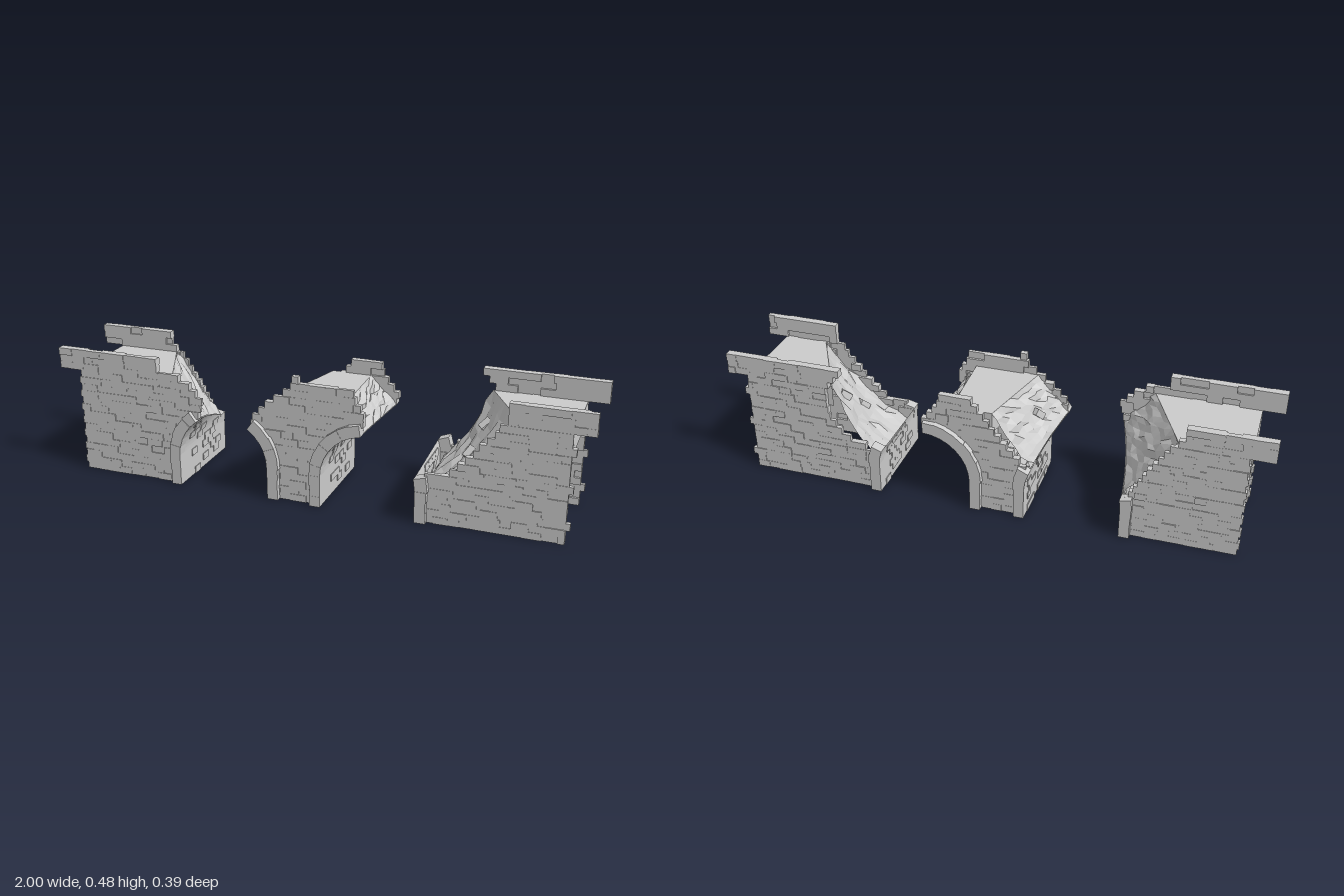
import * as THREE from 'three';
import { mergeGeometries } from 'three/addons/utils/BufferGeometryUtils.js';

const R_IN = 0.175, R_OUT = 0.217, SPRING = 0.12, DECK = 0.4, IN = 0.152;
const ROW = 0.08 / 3;
const lerp = THREE.MathUtils.lerp, rad = THREE.MathUtils.degToRad;

let seed = 7;
function rnd() {
  seed = (seed * 16807) % 2147483647;
  return seed / 2147483647;
}

const stone = new THREE.MeshStandardMaterial({ color: 0xcccccc, flatShading: true });
const shell = new THREE.MeshStandardMaterial({ color: 0xcccccc, flatShading: true, side: THREE.DoubleSide });

function named(name, geometry, material = stone) {
  const m = new THREE.Mesh(geometry, material);
  m.name = name;
  return m;
}

// x of a broken edge at height y, from [y, x] points
function edgeAt(points, y) {
  if (y <= points[0][0]) return points[0][1];
  for (let i = 1; i < points.length; i++) {
    const [y0, x0] = points[i - 1], [y1, x1] = points[i];
    if (y <= y1) return lerp(x0, x1, (y - y0) / (y1 - y0));
  }
  return points[points.length - 1][1];
}

// Point on an arch; side -1 is its left half, +1 its right half
function archPoint(arch, r, a) {
  return [arch.cx + arch.side * r * Math.cos(a), SPRING + r * Math.sin(a)];
}

// Half width of the arch opening at the bottom of a course
function opening(y) {
  const d = Math.max(0, y - SPRING), r = R_IN + 0.004;
  return d < r ? Math.sqrt(r * r - d * d) : 0;
}

// Wall laid in courses of bricks with uneven faces
function brickWall(name, s, left, right, arches) {
  const parts = [];
  for (let i = 0; i < 18; i++) {
    const y = i * ROW, mid = y + ROW / 2;
    let x0 = left(mid, i), x1 = right(mid, i);
    for (const a of arches) {
      const w = opening(y);
      if (!w) continue;
      if (a.side < 0) x1 = Math.min(x1, a.cx - w);
      else x0 = Math.max(x0, a.cx + w);
    }
    let x = x0, first = i % 2 ? 0.03 : 0.055;
    while (x < x1 - 0.004) {
      let end = x + first + rnd() * 0.03;
      if (x1 - end < 0.015) end = x1;
      end = Math.min(end, x1);
      const cap = i === 17 ? 0.003 : 0;
      const zin = IN + (rnd() < 0.4 ? 0.007 : -0.002) - cap, zout = 0.171 + rnd() * 0.005 + cap;
      const b = new THREE.BoxGeometry(end - x, ROW, zout - zin);
      b.translate((x + end) / 2, mid, s * (zin + zout) / 2);
      parts.push(b);
      x = end;
      first = 0.035;
    }
  }
  return named(name, mergeGeometries(parts));
}

// Raised arch ring: jamb blocks below, wedge blocks above
function archRing(name, arch, s, end) {
  const parts = [];
  const block = (corners) => {
    const g = new THREE.ExtrudeGeometry(new THREE.Shape(corners.map(p => new THREE.Vector2(...p))),
      { depth: 0.042 - rnd() * 0.003, bevelEnabled: false });
    g.translate(0, 0, s > 0 ? IN : -IN - 0.042);
    parts.push(g);
  };
  for (let i = 0; i < 3; i++) {
    const y0 = i * 0.04, y1 = y0 + 0.04, o = R_OUT - rnd() * 0.004;
    const xi = arch.cx + arch.side * R_IN, xo = arch.cx + arch.side * o;
    block([[xi, y0], [xo, y0], [xo, y1], [xi, y1]]);
  }
  const n = Math.max(1, Math.round(end / rad(11)));
  for (let i = 0; i < n; i++) {
    const a0 = end * i / n, a1 = end * (i + 1) / n, o = R_OUT + rnd() * 0.004;
    block([archPoint(arch, R_IN, a0), archPoint(arch, o, a0), archPoint(arch, o, a1), archPoint(arch, R_IN, a1)]);
  }
  return named(name, mergeGeometries(parts));
}

// Scattered bricks standing slightly proud of the arch underside
function undersideBricks(arch) {
  const parts = [];
  for (let k = 0; k < 14; k++) {
    const d = (k + 0.5) * ROW, a = Math.max(0, d - SPRING) / R_IN;
    for (let z = -0.145 + (k % 2) * 0.02; z < 0.1; z += 0.045) {
      if (rnd() < 0.6 || a + 0.1 > lerp(arch.back, arch.front, (z + 0.17) / 0.314)) continue;
      const [x, y] = archPoint(arch, R_IN, a);
      const b = new THREE.BoxGeometry(0.006, ROW, 0.043);
      b.rotateZ(arch.side * a);
      b.translate(x, Math.min(y, d), z + 0.0215);
      parts.push(b);
    }
  }
  return named('undersideBricks', mergeGeometries(parts));
}

// Footing of the pier: a layer of separate stones
function footing(arch) {
  const parts = [], cols = arch.footing / 0.05;
  for (let i = 0; i < cols; i++) for (let j = 0; j < 6; j++) {
    const b = new THREE.BoxGeometry(0.047, 0.09, 0.049);
    b.translate(arch.cx + arch.side * (R_IN + 0.026 + i * 0.05), 0.047 + rnd() * 0.004, -0.1275 + j * 0.051);
    parts.push(b);
  }
  return named('footing', mergeGeometries(parts));
}

// Surface from a rule over a grid of u, v
function gridSurface(nu, nv, rule) {
  const pos = [], index = [];
  for (let j = 0; j <= nv; j++) for (let i = 0; i <= nu; i++) pos.push(...rule(i / nu, j / nv));
  for (let j = 0; j < nv; j++) for (let i = 0; i < nu; i++) {
    const a = j * (nu + 1) + i, b = a + nu + 1;
    index.push(a, a + 1, b, a + 1, b + 1, b);
  }
  const g = new THREE.BufferGeometry();
  g.setAttribute('position', new THREE.Float32BufferAttribute(pos, 3));
  g.setIndex(index);
  g.computeVertexNormals();
  return g;
}

// One arch half: rings, underside, rubble slope up to the deck and loose stones
function archHalf(group, arch) {
  const { back, front, top, drop } = arch;
  group.add(archRing('frontArchRing', arch, 1, front), archRing('backArchRing', arch, -1, back));
  group.add(undersideBricks(arch), footing(arch));
  const angle = u => lerp(back, front, u), zAt = u => lerp(-0.157, 0.157, u);
  group.add(named('archUnderside', gridSurface(8, 14, (u, v) => {
    const k = 2 / 14;
    const p = v <= k ? [arch.cx + arch.side * R_IN, SPRING * v / k]
      : archPoint(arch, R_IN, angle(u) * (v - k) / (1 - k));
    return [...p, zAt(u)];
  }), shell));
  const slope = (u, v) => {
    const [x, y] = archPoint(arch, R_IN + 0.003 + drop * 0.4, angle(u));
    const sag = drop * 0.5 * Math.sin(Math.PI * v);
    return [lerp(x, lerp(top[0], top[1], u), v), lerp(y - drop, DECK, v) - sag, zAt(u)];
  };
  group.add(named('rubbleSlope', gridSurface(10, 8, (u, v) => {
    const p = slope(u, v);
    const rough = v > 0 && v < 1 ? 0.016 : 0;
    const inner = u > 0 && u < 1 ? 0.012 : 0;
    return [p[0] + (rnd() - 0.5) * rough, p[1] + (rnd() - 0.5) * rough, p[2] + (rnd() - 0.5) * inner];
  }), shell));
  for (const [u, v] of arch.stones) {
    const b = named('looseStone', new THREE.BoxGeometry(0.045, 0.025, 0.028));
    b.position.set(...slope(u, v));
    b.rotation.set(0.3, 0.4 + u, arch.side * 0.5);
    group.add(b);
  }
}

// Road slab from plan corners [x, z]
function deck(corners) {
  const g = new THREE.ExtrudeGeometry(new THREE.Shape(corners.map(([x, z]) => new THREE.Vector2(x, -z))),
    { depth: 0.08, bevelEnabled: false });
  g.rotateX(-Math.PI / 2);
  g.translate(0, DECK - 0.08, 0);
  return named('deck', g);
}

export function createModel() {
  const model = new THREE.Group();
  model.name = 'ruinedBridge';
  const W = 0.155;
  const half = (cx, side, back, front, top, footing, drop, stones) =>
    ({ cx, side, back: rad(back), front: rad(front), top, footing, drop, stones });
  const a1 = half(-0.325, -1, 12, 53, [-0.68, -0.54], 0.05, 0, []);
  const a2 = half(-0.325, 1, 25, 55, [-0.02, -0.1], 0.1, 0, [[0.6, 0.45]]);
  const a3 = half(0.23, -1, 90, 82, [0.13, 0.14], 0.1, 0, []);
  const a4 = half(0.23, 1, 20, 15, [0.59, 0.76], 0.05, 0.065, [[0.6, 0.5], [0.35, 0.75]]);
  const broken = points => y => edgeAt(points, y);

  // Left end: straight outer edge, parapet overhanging
  const endL = (y, i) => i >= 15 ? -1 : i % 2 ? -0.92 : -0.914;
  const west = new THREE.Group();
  west.name = 'leftEnd';
  west.add(
    brickWall('frontWall', 1, endL, broken([[0.3, -0.42], [0.34, -0.41], [0.37, -0.45], [0.4, -0.47],
      [0.42, -0.52], [0.43, -0.59]]), [a1]),
    brickWall('backWall', -1, endL, broken([[0.15, -0.51], [0.28, -0.58], [0.4, -0.66], [0.43, -0.7]]), [a1]),
    deck([[-0.92, -W], [-0.68, -W], [-0.54, W], [-0.92, W]]));
  archHalf(west, a1);

  // Middle pier carrying two broken arches
  const pier = new THREE.Group();
  pier.name = 'middlePier';
  pier.add(
    brickWall('frontWall', 1,
      broken([[0.27, -0.22], [0.31, -0.21], [0.36, -0.16], [0.4, -0.11], [0.43, -0.07], [0.45, -0.055]]),
      broken([[0.3, 0.21], [0.37, 0.21], [0.41, 0.18], [0.452, 0.17], [0.456, -0.03]]), [a2, a3]),
    brickWall('backWall', -1,
      broken([[0.19, -0.16], [0.3, -0.06], [0.4, 0.02], [0.45, 0.06]]),
      broken([[0.3, 0.24], [0.34, 0.24], [0.37, 0.21], [0.41, 0.18], [0.452, 0.17], [0.456, 0.03]]), [a2, a3]),
    deck([[-0.02, -W], [0.13, -W], [0.14, W], [-0.1, W]]));
  archHalf(pier, a2);
  archHalf(pier, a3);

  // Right end: the more collapsed side
  const endR = (y, i) => i >= 15 ? 1 : i % 5 === 2 ? 0.94 : 0.925;
  const east = new THREE.Group();
  east.name = 'rightEnd';
  east.add(
    brickWall('frontWall', 1, broken([[0.17, 0.4], [0.18, 0.5], [0.23, 0.55], [0.28, 0.6], [0.31, 0.62],
      [0.36, 0.67], [0.4, 0.69], [0.41, 0.71]]), endR, [a4]),
    brickWall('backWall', -1, broken([[0.16, 0.4], [0.18, 0.5], [0.23, 0.56], [0.28, 0.6], [0.33, 0.61],
      [0.4, 0.61], [0.48, 0.54]]), endR, [a4]),
    deck([[0.59, -W], [0.925, -W], [0.925, W], [0.76, W]]));
  archHalf(east, a4);

  model.add(west, pier, east);
  return model;
}
